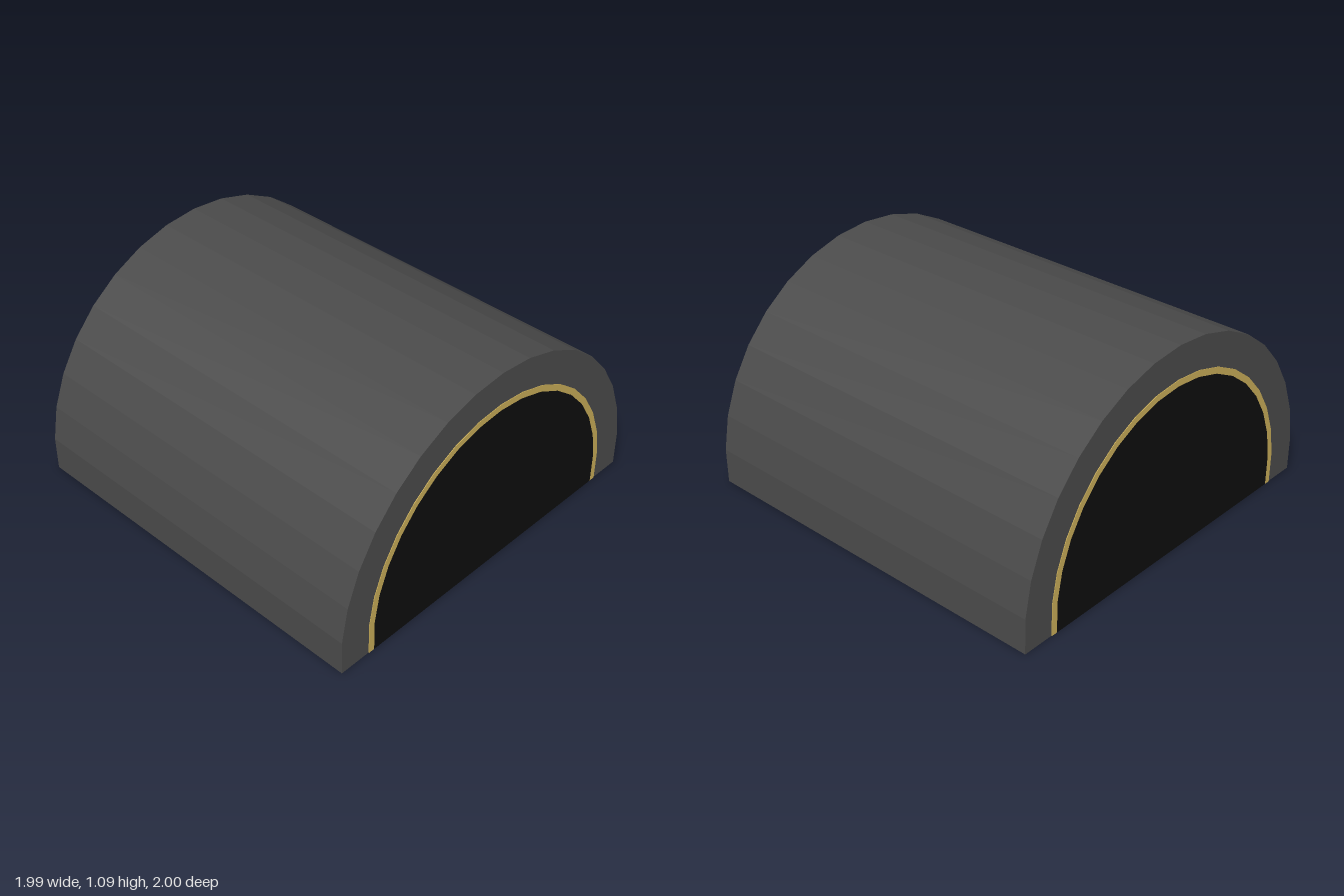
import * as THREE from 'three';

const STEP = (Math.PI * 2) / 34; // facet angle of the vault
const CENTRE_Y = 0.092;
const HALF_LENGTH = 0.997;
const PLATE = 0.003;

// Faceted arch outline, running from the right foot over the crown to the left foot
function archPoints(radius) {
  const points = [];
  for (let i = -9; i <= 9; i++) {
    const a = i * STEP;
    const y = Math.abs(i) === 9 ? 0 : CENTRE_Y + radius * Math.cos(a);
    points.push(new THREE.Vector2(-radius * Math.sin(a), y));
  }
  return points;
}

function extrude(points, depth, z) {
  const geometry = new THREE.ExtrudeGeometry(new THREE.Shape(points), { depth, bevelEnabled: false });
  return geometry.translate(0, 0, z);
}

export function createModel() {
  const group = new THREE.Group();
  const material = (name, color) => {
    const m = new THREE.MeshStandardMaterial({ color, flatShading: true });
    m.name = name;
    return m;
  };
  const grey = material('darkGrey', 0x4a4a4a);
  const gold = material('gold', 0xc9ad58);
  const black = material('black', 0x0d0d0d);

  const add = (name, geometry, mat) => {
    const mesh = new THREE.Mesh(geometry, mat);
    mesh.name = name;
    group.add(mesh);
  };

  // Solid vaulted body with a flat base
  add('vaultBody', extrude(archPoints(1), HALF_LENGTH * 2, -HALF_LENGTH), grey);

  // Gold trim and black opening on both ends
  const trim = [...archPoints(0.83), ...archPoints(0.797).reverse()];
  for (const [end, z] of [['front', HALF_LENGTH], ['back', -HALF_LENGTH - PLATE]]) {
    add(end + 'Trim', extrude(trim, PLATE, z), gold);
    add(end + 'Opening', extrude(archPoints(0.797), PLATE, z), black);
  }
  return group;
}
